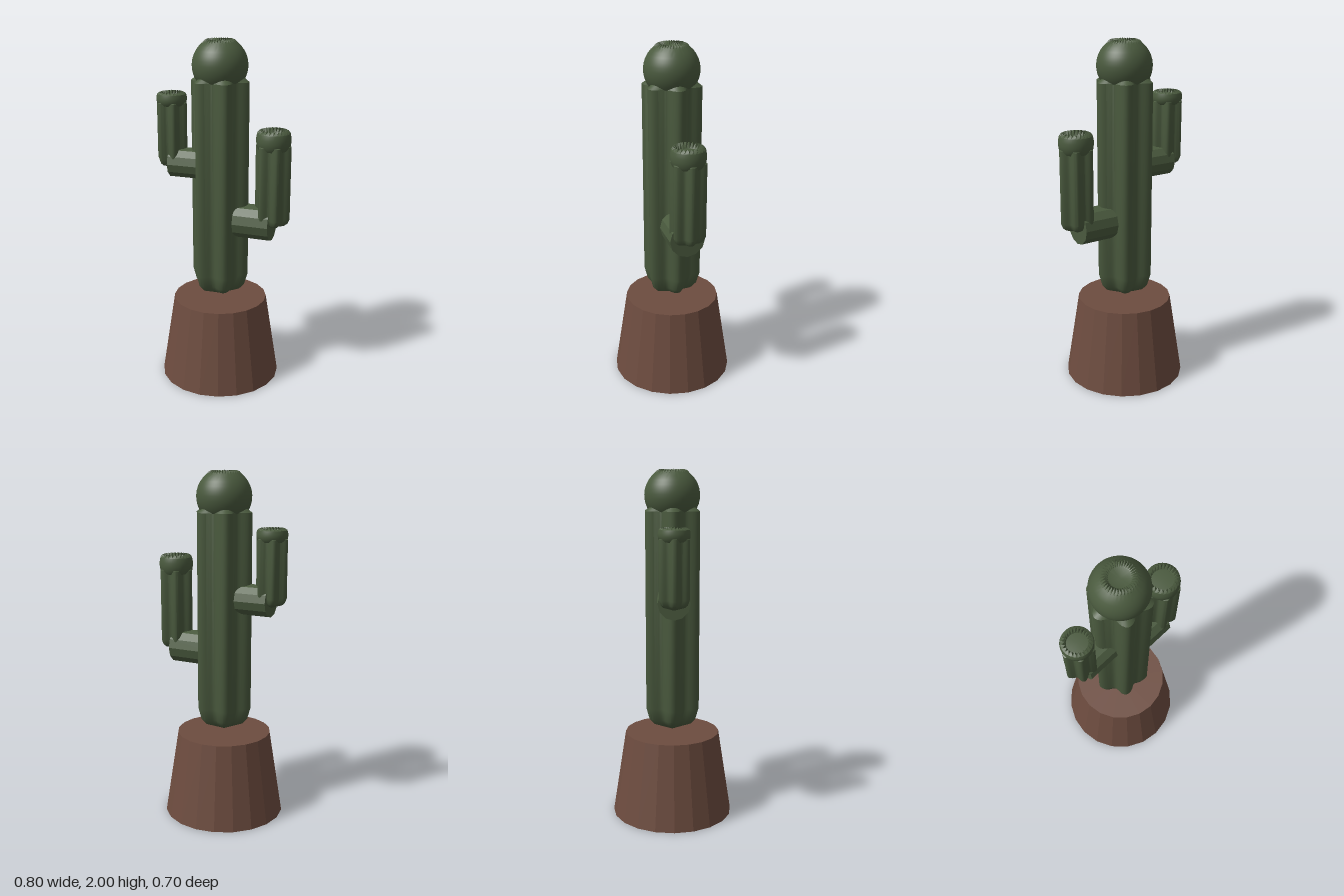
import * as THREE from 'three';
import { toCreasedNormals } from 'three/addons/utils/BufferGeometryUtils.js';

const green = new THREE.MeshStandardMaterial({ color: 0x4a5a3e });
green.name = 'cactusGreen';
const brown = new THREE.MeshStandardMaterial({ color: 0x6d4c3f });
brown.name = 'terracotta';

// Surface through rings listed from bottom to top: [radius, y, ribDepth, toothDepth]
function loft(rings, n, crease = 0.6) {
  const pos = [], idx = [];
  rings.forEach(([r, y, rib = 0, tooth = 0]) => {
    for (let j = 0; j < n; j++) {
      const a = (j / n) * Math.PI * 2;
      const rr = r - (rib / 2) * (1 - Math.cos(6 * a)) - (j % 2) * tooth;
      pos.push(rr * Math.cos(a), y + (j % 2) * tooth * 0.4, rr * Math.sin(a));
    }
  });
  for (let i = 0; i < rings.length - 1; i++) {
    for (let j = 0; j < n; j++) {
      const k = (j + 1) % n;
      const a = i * n + j, b = i * n + k, d = a + n, c = b + n;
      idx.push(a, d, b, b, d, c);
    }
  }
  const g = new THREE.BufferGeometry();
  g.setAttribute('position', new THREE.Float32BufferAttribute(pos, 3));
  g.setIndex(idx);
  return toCreasedNormals(g, crease);
}

function add(parent, name, geometry, material, x = 0, y = 0) {
  const m = new THREE.Mesh(geometry, material);
  m.name = name;
  m.position.set(x, y, 0);
  parent.add(m);
  return m;
}

// Six-ribbed stem with tapered ends
function stem(r, y0, y1, tip, taper) {
  const rib = r * 0.26;
  return loft([
    [0.001, y0 - tip],
    [r * 0.72, y0, rib * 0.7],
    [r * 0.88, y0 + taper * 0.3, rib * 0.9],
    [r, y0 + taper, rib],
    [r, y1, rib],
    [r * 0.75, y1 + taper * 0.3, rib * 0.5],
    [0.001, y1 + taper * 0.3],
  ], 72);
}

// Upright arm on a horizontal joint, with a toothed cap
function arm(parent, name, x, r, y0, y1, top, jointY) {
  const g = new THREE.Group();
  g.name = name;
  g.position.x = x;
  parent.add(g);
  add(g, 'armStem', stem(r, y0, y1, 0.02, 0.04), green);
  const h = top - y1;
  add(g, 'armCap', loft([
    [r * 0.8, y1 - h * 0.25],
    [r * 0.91, y1 - h * 0.05],
    [r * 0.95, y1 + h * 0.25],
    [r * 0.95, y1 + h * 0.5],
    [r * 0.9, y1 + h * 0.8],
    [r * 0.82, top - 0.006, 0, 0.015],
    [r * 0.6, top - 0.035],
    [0.001, top - 0.03],
  ], 48), green);
  const len = Math.abs(x);
  const joint = new THREE.CylinderGeometry(r * 0.98, r * 0.98, len, 12);
  joint.rotateZ(Math.PI / 2);
  add(g, 'armJoint', toCreasedNormals(joint, 0.2), green, -x / 2, jointY);
}

export function createModel() {
  const root = new THREE.Group();
  root.name = 'pottedCactus';
  const plant = new THREE.Group();
  plant.name = 'plant';
  plant.position.x = -0.017;
  root.add(plant);

  // Faceted pot with closed top
  const pot = new THREE.CylinderGeometry(0.273, 0.35, 0.49, 20);
  add(plant, 'pot', toCreasedNormals(pot, 0.1), brown, 0, 0.245);

  // Main column
  add(plant, 'column', stem(0.17, 0.55, 1.77, 0.05, 0.1), green);

  // Round head with a toothed hollow on top
  const R = 0.155, head = [];
  for (let i = 0; i <= 14; i++) {
    const t = -1.5 + (i / 14) * 2.4;
    head.push([R * Math.cos(t), 1.855 + R * Math.sin(t)]);
  }
  head.push([0.085, 1.99, 0, 0.017], [0.055, 1.975], [0.001, 1.965]);
  add(plant, 'head', loft(head, 72), green);

  // Side arms
  arm(plant, 'leftArm', 0.314, 0.102, 0.975, 1.43, 1.52, 0.978);
  arm(plant, 'rightArm', -0.293, 0.091, 1.275, 1.635, 1.695, 1.29);
  return root;
}
